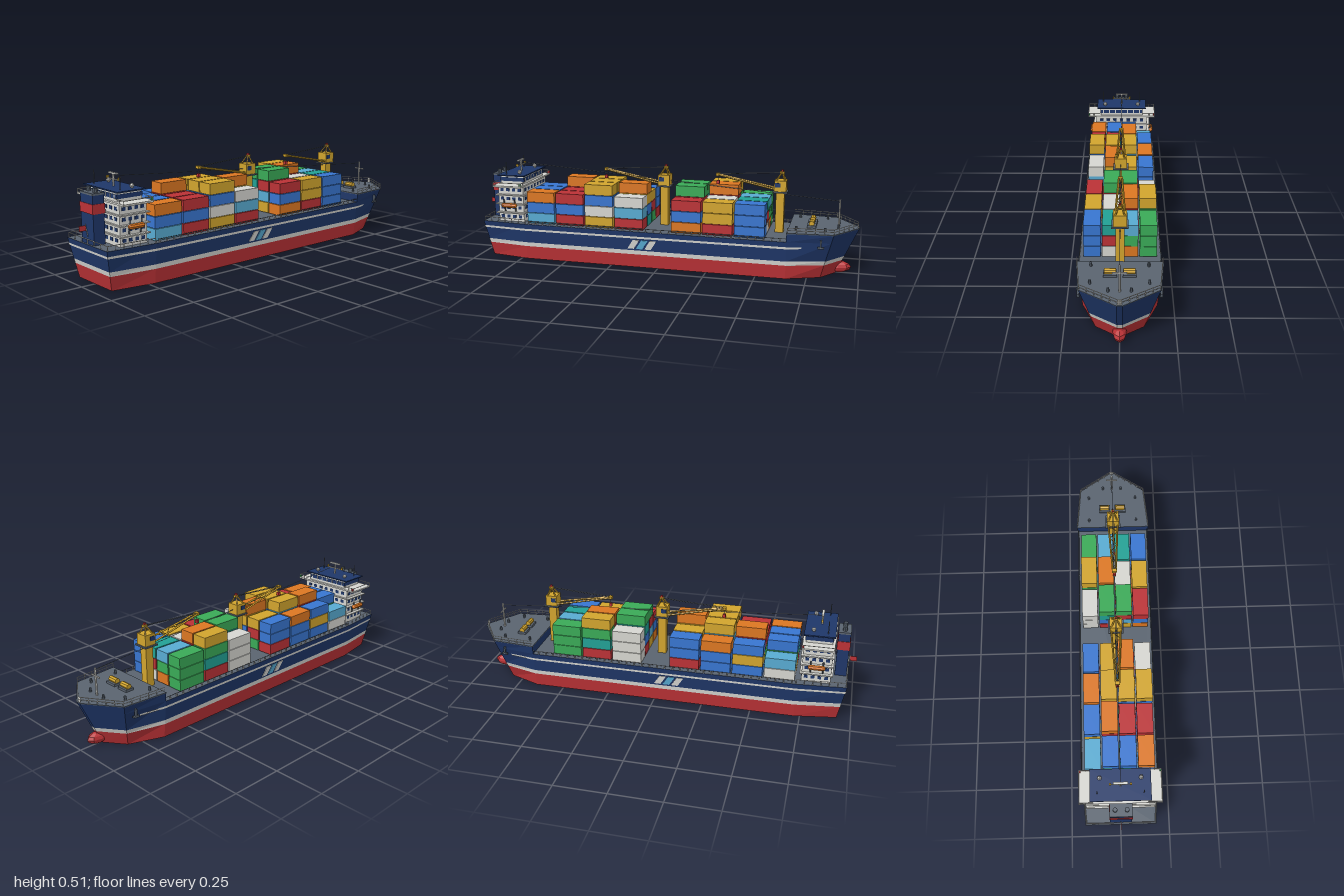
import * as THREE from 'three';

const mat = (name, color) => Object.assign(new THREE.MeshStandardMaterial({ color, flatShading: true }), { name });
const M = {
  navy: mat('navy', 0x1f3769), red: mat('red', 0xbb3236), white: mat('white', 0xd6d6d1),
  grey: mat('grey', 0x5a6470), yellow: mat('yellow', 0xd2a52e), orange: mat('orange', 0xdc7722),
  blue: mat('blue', 0x3876d0), sky: mat('light blue', 0x58abd2), green: mat('green', 0x3aaa57), teal: mat('teal', 0x22a195),
};
const CODE = { B: M.blue, L: M.sky, G: M.green, T: M.teal, R: M.red, O: M.orange, Y: M.yellow, W: M.white };

function add(parent, name, geo, material, x = 0, y = 0, z = 0) {
  const m = new THREE.Mesh(geo, material);
  m.name = name;
  m.position.set(x, y, z);
  parent.add(m);
  return m;
}
const box = (p, name, material, w, h, d, x, y, z) => add(p, name, new THREE.BoxGeometry(w, h, d), material, x, y, z);

// Thin bar between two points
function rod(p, name, material, a, b, r = 0.003, sides = 5) {
  const A = new THREE.Vector3(...a), B = new THREE.Vector3(...b);
  const m = add(p, name, new THREE.CylinderGeometry(r, r, A.distanceTo(B), sides), material);
  m.position.copy(A).add(B).multiplyScalar(0.5);
  m.quaternion.setFromUnitVectors(new THREE.Vector3(0, 1, 0), B.sub(A).normalize());
  return m;
}
function group(parent, name) {
  const g = new THREE.Group();
  g.name = name;
  parent.add(g);
  return g;
}

// Hull stations: [x at keel, x at top, half width at keel, half width at top]
const TOP = 0.24, DECK = 0.193;
const ST = [[-0.93, -0.975, 0.14, 0.182], [-0.72, -0.72, 0.175, 0.199], [0.65, 0.65, 0.175, 0.199],
  [0.815, 0.875, 0.11, 0.18], [0.885, 0.993, 0.012, 0.012]];
const MID = ST[2].map((v, i) => v * 0.35 + ST[3][i] * 0.65);

function ring(stations, y, grow = 0) {
  const t = y / TOP;
  const half = stations.map(([xb, xt, zb, zt], i) =>
    [xb + (xt - xb) * t - (i ? 0 : grow), y, zb + (zt - zb) * t + grow]);
  return [...half, ...half.slice().reverse().map(([x, yy, z]) => [x, yy, -z])];
}
// Band of plating between two heights, with optional top and bottom caps
function plating(stations, y0, y1, { grow = 0, openBow = false, sides = true, top = false, bottom = false } = {}) {
  const a = ring(stations, y0, grow), b = ring(stations, y1, grow), n = a.length, pos = [];
  for (let i = 0; i < n && sides; i++) {
    if (openBow && i === n / 2 - 1) continue;
    const j = (i + 1) % n;
    pos.push(...a[i], ...a[j], ...b[j], ...a[i], ...b[j], ...b[i]);
  }
  for (let i = 1; i < n - 1; i++) {
    if (top) pos.push(...b[0], ...b[i], ...b[i + 1]);
    if (bottom) pos.push(...a[0], ...a[i + 1], ...a[i]);
  }
  const g = new THREE.BufferGeometry();
  g.setAttribute('position', new THREE.Float32BufferAttribute(pos, 3));
  g.computeVertexNormals();
  return g;
}

function buildHull(root) {
  const hull = group(root, 'hull'), bow = ST.slice(2);
  add(hull, 'lowerHull', plating(ST, 0, 0.07, { bottom: true }), M.red);
  add(hull, 'waterlineBand', plating(ST, 0.07, 0.092), M.white);
  add(hull, 'upperHull', plating(ST, 0.092, DECK), M.navy);
  add(hull, 'mainDeck', plating(ST, 0, DECK, { sides: false, top: true }), M.grey);
  add(hull, 'forecastle', plating(bow, DECK, TOP - 0.005), M.navy);
  add(hull, 'forecastleDeck', plating(bow, TOP - 0.005, TOP, { grow: 0.001, top: true }), M.grey);
  add(hull, 'sheerStripe', plating([ST[0], ST[1], ST[2], MID], 0.157, 0.168, { grow: 0.002, openBow: true }), M.white);
  add(hull, 'bulbousBow', new THREE.SphereGeometry(1, 8, 6), M.red, 0.895, 0.032, 0).scale.set(0.065, 0.03, 0.032);
  // Slanted stripes and anchors on both sides
  for (const s of [1, -1]) {
    const side = group(hull, 'sideStripes');
    side.position.set(-0.08, 0.125, s * 0.1875);
    side.rotation.set(0, s > 0 ? 0 : Math.PI, 0);
    [M.white, M.sky, M.white].forEach((m, i) => {
      const sh = new THREE.Shape([[-0.032, -0.024], [0.002, -0.024], [0.032, 0.024], [-0.002, 0.024]].map(p => new THREE.Vector2(...p)));
      const e = add(side, 'slantedStripe', new THREE.ExtrudeGeometry(sh, { depth: 0.003, bevelEnabled: false }), m, (i - 1) * 0.045);
      e.rotation.x = 0.1;
    });
    const anchor = group(hull, 'anchor');
    anchor.position.set(0.815, 0.19, s * 0.184);
    anchor.rotation.y = s * 0.1;
    box(anchor, 'anchorShank', M.grey, 0.008, 0.04, 0.012, 0, 0, 0);
    box(anchor, 'anchorFlukes', M.grey, 0.03, 0.008, 0.012, 0, -0.018, 0);
  }
  // Low posts and rail along the main deck
  for (const s of [1, -1]) {
    for (let x = -0.7; x < 0.64; x += 0.04) box(hull, 'deckPost', M.white, 0.004, 0.016, 0.004, x, DECK + 0.008, s * 0.19);
    rod(hull, 'deckRail', M.grey, [-0.71, 0.209, s * 0.19], [0.65, 0.209, s * 0.19], 0.0018, 4);
  }
}

function buildForecastle(root) {
  const g = group(root, 'foredeckGear');
  // Railing follows the bow outline
  const r = ring(ST.slice(2), TOP, -0.004).map(([x, y, z]) => [Math.min(x, 0.985), y, z]);
  for (let i = 0; i < r.length - 1; i++) {
    const up = (p, h) => [p[0], p[1] + h, p[2]];
    for (const h of [0.013, 0.025]) rod(g, 'bowRail', M.white, up(r[i], h), up(r[i + 1], h), 0.0018, 4);
    for (let k = 0; k < 5; k++) {
      const p = r[i].map((v, c) => v + (r[i + 1][c] - v) * k / 5);
      rod(g, 'bowRailPost', M.white, p, up(p, 0.025), 0.0018, 4);
    }
  }
  for (const s of [1, -1]) {
    box(g, 'winchBase', M.grey, 0.045, 0.012, 0.06, 0.76, TOP + 0.006, s * 0.043);
    const d = add(g, 'winchDrum', new THREE.CylinderGeometry(0.014, 0.014, 0.052, 8), M.yellow, 0.76, TOP + 0.02, s * 0.043);
    d.rotation.x = Math.PI / 2;
    for (const x of [0.69, 0.83, 0.89]) add(g, 'bollard', new THREE.CylinderGeometry(0.006, 0.006, 0.02, 6), M.grey, x, TOP + 0.01, s * (x > 0.85 ? 0.05 : 0.13));
  }
  rod(g, 'foremast', M.white, [0.89, TOP, 0], [0.89, 0.375, 0], 0.005, 6);
  box(g, 'foremastArm', M.white, 0.006, 0.006, 0.062, 0.89, 0.335, 0);
  rod(g, 'signalStay', M.grey, [-0.815, 0.488, 0], [0.89, 0.368, 0], 0.0015, 4);
}

// Stacks from bow-facing rows -z to +z, each string listed from the bottom up
function buildContainers(root) {
  const g = group(root, 'containers');
  const bays = [
    [-0.635, 'WL', 'YGB', 'RTB', 'LBO'], [-0.475, 'BYB', 'LGRO', 'WGR', 'RBR'],
    [-0.315, 'BBO', 'RGLY', 'OWBY', 'YWBY'], [-0.155, 'RBB', 'GRY', 'TBYO', 'RLW'],
    [0.145, 'WWW', 'RBTG', 'YLRG', 'OBR'], [0.305, 'RTGY', 'BWRO', 'GYW', 'RYY'],
    [0.465, 'GGG', 'OGL', 'WRT', 'BBB']];
  for (const [x, ...rows] of bays) rows.forEach((stack, r) => [...stack].forEach((c, t) =>
    box(g, 'container', CODE[c], 0.151, 0.054, 0.08, x, 0.224 + t * 0.0565, (r - 1.5) * 0.0875)));
}

function buildCrane(root, x) {
  const g = group(root, 'deckCrane');
  g.position.x = x;
  box(g, 'cranePedestal', M.yellow, 0.042, 0.21, 0.04, 0, 0.296, 0);
  box(g, 'cranePlatform', M.grey, 0.075, 0.007, 0.078, 0, 0.402, 0);
  box(g, 'craneCab', M.yellow, 0.06, 0.055, 0.062, 0, 0.433, 0);
  for (const s of [1, -1]) box(g, 'cabWindow', M.navy, 0.026, 0.022, 0.004, -0.012, 0.438, s * 0.031);
  // A-frame and warning lamp
  for (const sx of [1, -1]) for (const s of [1, -1])
    rod(g, 'frameLeg', M.yellow, [sx * 0.022, 0.458, s * 0.022], [0.006, 0.502, s * 0.003], 0.004, 4);
  box(g, 'frameHead', M.yellow, 0.022, 0.01, 0.016, 0.006, 0.498, 0);
  box(g, 'warningLamp', M.red, 0.01, 0.01, 0.01, 0.006, 0.507, 0);
  // Lattice jib
  const at = (t, s) => [-0.03 - 0.29 * t, 0.415 + 0.058 * t, s * (0.024 - 0.016 * t)];
  for (const s of [1, -1]) rod(g, 'jibChord', M.yellow, at(0, s), at(1, s), 0.005, 4);
  for (let i = 0; i < 7; i++) rod(g, 'jibLacing', M.yellow, at(i / 7, i % 2 ? 1 : -1), at((i + 1) / 7, i % 2 ? -1 : 1), 0.0025, 4);
  box(g, 'jibHead', M.yellow, 0.018, 0.014, 0.024, -0.32, 0.473, 0);
  for (const s of [1, -1]) rod(g, 'hoistCable', M.grey, [0.006, 0.498, s * 0.004], [-0.32, 0.476, s * 0.006], 0.0015, 4);
  rod(g, 'hookCable', M.grey, [-0.32, 0.47, 0], [-0.32, 0.44, 0], 0.0015, 4);
  box(g, 'hookBlock', M.red, 0.014, 0.018, 0.014, -0.32, 0.433, 0);
}

function buildBridge(root) {
  const g = group(root, 'superstructure'), cx = -0.812, H = 0.048;
  for (let k = 0; k < 4; k++) {
    const y = DECK + H * k;
    box(g, 'cabinDeck', M.white, 0.142, H, 0.3, cx, y + H / 2, 0);
    if (k) box(g, 'deckLedge', M.white, 0.16, 0.006, 0.335, cx, y, 0);
    // Cabin windows all round
    for (const s of [1, -1]) {
      for (let i = -1.5; i < 2; i++) box(g, 'cabinWindow', M.navy, 0.018, 0.016, 0.004, cx + i * 0.033, y + 0.027, s * 0.15);
      for (let i = -3; i <= 3; i++) box(g, 'cabinWindow', M.navy, 0.004, 0.016, 0.02, cx + s * 0.071, y + 0.027, i * 0.04);
    }
  }
  // Bridge with wings and roof
  box(g, 'wingDeck', M.white, 0.16, 0.008, 0.398, cx, 0.389, 0);
  box(g, 'wheelhouse', M.white, 0.13, 0.044, 0.25, cx, 0.413, 0);
  box(g, 'bridgeWindows', M.navy, 0.134, 0.02, 0.254, cx, 0.416, 0);
  for (let i = -3; i <= 3; i++) box(g, 'windowPillar', M.white, 0.138, 0.02, 0.005, cx, 0.416, i * 0.036);
  box(g, 'bridgeRoof', M.navy, 0.152, 0.006, 0.29, cx, 0.438, 0);
  for (const s of [1, -1]) {
    for (const e of [-0.077, 0.077]) {
      rod(g, 'wingRail', M.white, [cx + e, 0.409, s * 0.13], [cx + e, 0.409, s * 0.197], 0.002, 4);
      for (const z of [0.165, 0.197]) rod(g, 'wingPost', M.white, [cx + e, 0.39, s * z], [cx + e, 0.409, s * z], 0.002, 4);
    }
    rod(g, 'wingRail', M.white, [cx - 0.077, 0.409, s * 0.197], [cx + 0.077, 0.409, s * 0.197], 0.002, 4);
    box(g, 'sideLight', s > 0 ? M.green : M.red, 0.012, 0.012, 0.007, cx + 0.074, 0.401, s * 0.192);
    // Lifeboat and davits
    const boat = add(g, 'lifeboat', new THREE.CapsuleGeometry(0.013, 0.06, 3, 8), M.orange, cx, 0.285, s * 0.176);
    boat.rotation.z = Math.PI / 2;
    for (const e of [-0.03, 0.03]) {
      rod(g, 'davit', M.grey, [cx + e, 0.25, s * 0.16], [cx + e, 0.316, s * 0.174], 0.004, 4);
      rod(g, 'davitFall', M.grey, [cx + e, 0.316, s * 0.174], [cx + e, 0.294, s * 0.176], 0.002, 4);
    }
    // Aerials and radomes
    rod(g, 'whipAerial', M.grey, [-0.85, 0.44, s * 0.11], [-0.85, 0.505, s * 0.11], 0.0025);
    rod(g, 'radomeStand', M.white, [-0.78, 0.44, s * 0.098], [-0.78, 0.45, s * 0.098], 0.004);
    add(g, 'radome', new THREE.IcosahedronGeometry(0.012, 0), M.white, -0.78, 0.452, s * 0.098);
    box(g, 'mastLamp', M.yellow, 0.01, 0.012, 0.008, -0.815, 0.478, s * 0.049);
  }
  rod(g, 'radarMast', M.white, [-0.815, 0.44, 0], [-0.815, 0.498, 0], 0.005, 6);
  box(g, 'mastArm', M.white, 0.005, 0.005, 0.1, -0.815, 0.472, 0);
  box(g, 'radarBar', M.white, 0.012, 0.007, 0.07, -0.815, 0.5, 0);
}

function buildStern(root) {
  const g = group(root, 'stern');
  box(g, 'funnel', M.navy, 0.058, 0.23, 0.105, -0.928, 0.308, 0);
  box(g, 'funnelBand', M.red, 0.064, 0.045, 0.111, -0.928, 0.358, 0);
  box(g, 'funnelCap', M.grey, 0.062, 0.01, 0.109, -0.928, 0.425, 0);
  for (const z of [-0.028, 0.028]) add(g, 'exhaustPipe', new THREE.CylinderGeometry(0.011, 0.011, 0.024, 8), M.grey, -0.928, 0.438, z);
  rod(g, 'flagstaff', M.white, [-0.95, DECK, 0], [-0.968, 0.285, 0], 0.002);
  box(g, 'ensign', M.red, 0.034, 0.025, 0.003, -0.983, 0.268, 0);
  // Stern railing
  const r = ring(ST.slice(0, 2), DECK, -0.006), P = [r[1], r[0], r[3], r[2]];
  for (let i = 0; i < 3; i++) {
    const [a, b] = [P[i], P[i + 1]].map(([x, y, z]) => [x, y + 0.022, z]);
    rod(g, 'sternRail', M.white, a, b, 0.0018, 4);
    for (let k = 0; k <= 6; k++) {
      const p = a.map((v, c) => v + (b[c] - v) * k / 6);
      rod(g, 'sternRailPost', M.white, [p[0], DECK, p[2]], p, 0.0018, 4);
    }
  }
}

export function createModel() {
  const root = new THREE.Group();
  root.name = 'containerShip';
  buildHull(root);
  buildForecastle(root);
  buildContainers(root);
  buildCrane(root, -0.005);
  buildCrane(root, 0.595);
  buildBridge(root);
  buildStern(root);
  return root;
}
